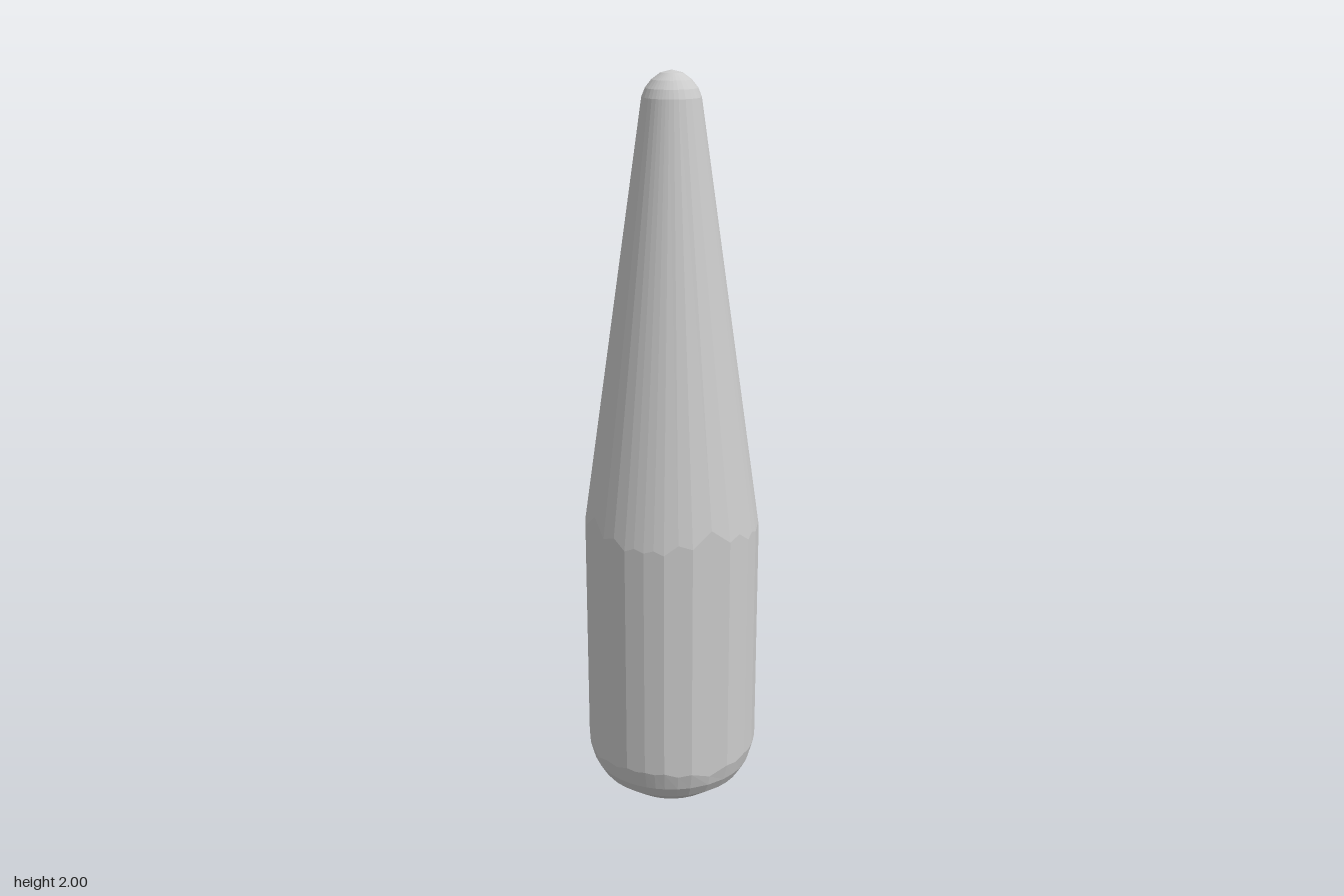
import * as THREE from 'three';

// Corners of a quarter of the 20-sided barrel section, as [x, z]
const QUARTER = [[0.055, 0.228], [0.125, 0.201], [0.167, 0.167], [0.201, 0.125], [0.228, 0.055]];

// Section as a full loop: each corner followed by the middle of the next flat
function sectionLoop() {
  const corners = [];
  for (let q = 0; q < 4; q++) {
    for (const [x, z] of QUARTER) {
      corners.push(new THREE.Vector2(x, z).rotateAround(new THREE.Vector2(), -q * Math.PI / 2));
    }
  }
  return corners.flatMap((c, i) => [c, c.clone().lerp(corners[(i + 1) % corners.length], 0.5)]);
}

export function createModel() {
  const group = new THREE.Group();
  group.name = 'taperedPeg';

  // Rounded foot, straight barrel, long taper and domed tip
  const profile = [
    [0, 0], [0.07, 0.012], [0.135, 0.026], [0.2, 0.075], [0.221, 0.11],
    [0.228, 0.14], [0.228, 0.865],
    [0.075, 1.935], [0.066, 1.957], [0.05, 1.977], [0.028, 1.993], [0, 2],
  ].map(([r, y]) => new THREE.Vector2(r, y));
  const LOWER = 5, UPPER = 6;

  const loop = sectionLoop();
  const geometry = new THREE.LatheGeometry(profile, loop.length);
  const pos = geometry.attributes.position;

  // Fit the columns to the section; the two creases wave where flats meet the round ends
  for (let i = 0; i <= loop.length; i++) {
    const p = loop[i % loop.length];
    const radius = p.length();
    const excess = radius - 0.228;
    profile.forEach((pt, j) => {
      let r = pt.x, y = pt.y;
      if (j === LOWER) { r = radius; y += excess * 3; }
      if (j === UPPER) { r = radius; y -= excess * 6.5; }
      pos.setXYZ(i * profile.length + j, p.x / radius * r, y, p.y / radius * r);
    });
  }
  geometry.computeVertexNormals();

  const body = new THREE.Mesh(geometry,
    new THREE.MeshStandardMaterial({ color: 0xcccccc, flatShading: true }));
  body.name = 'pegBody';
  group.add(body);
  return group;
}
